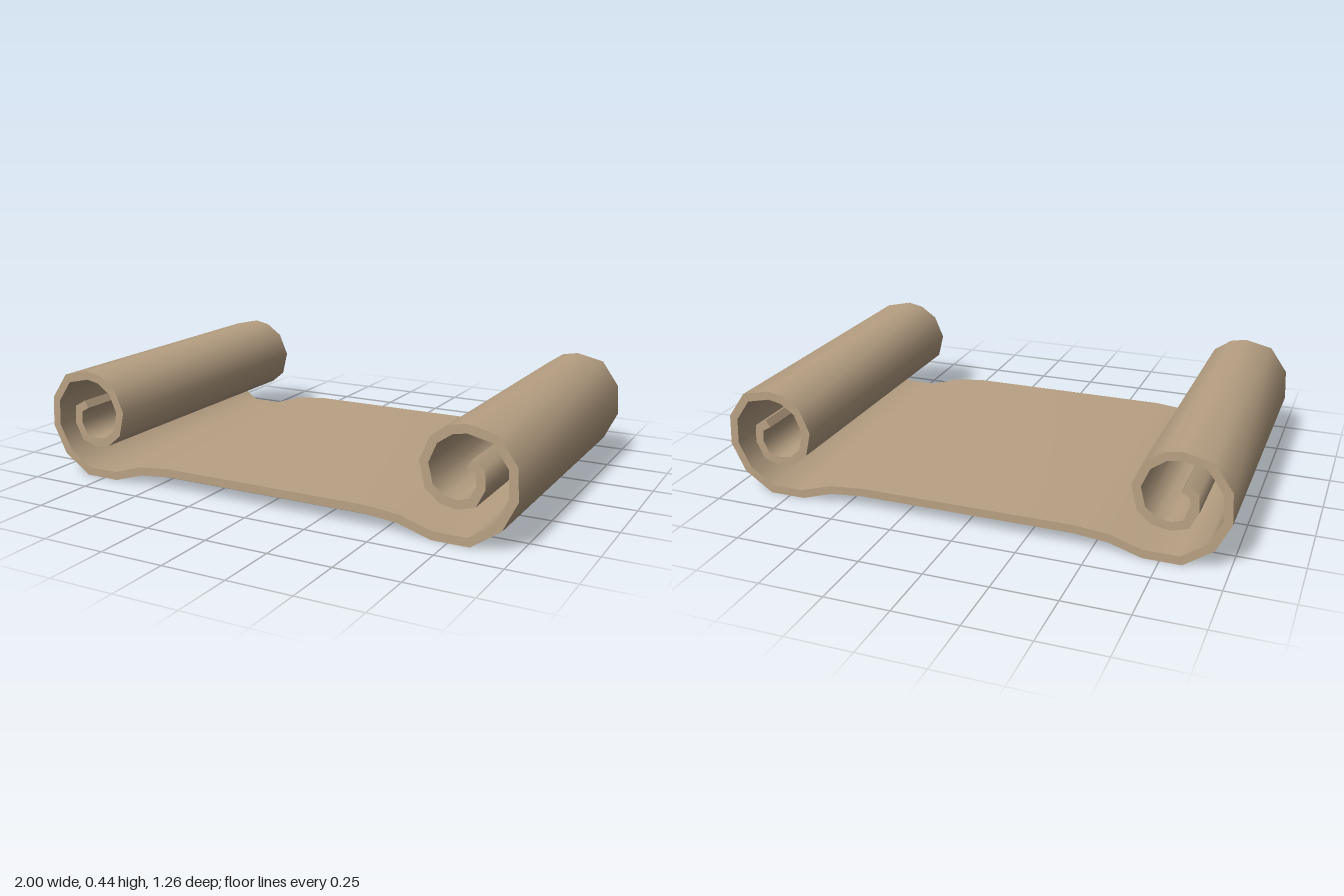
import * as THREE from 'three';
import { toCreasedNormals } from 'three/addons/utils/BufferGeometryUtils.js';

const HALF_THICKNESS = 0.0165;
const DEPTH = 1.26;

// Centre line of the right half, from the flat sheet to the inner end of the curl
const HALF_PATH = [
  [0.43, 0.07], [0.565, 0.057], [0.69, 0.018], [0.828, 0.018], [0.932, 0.09],
  [0.983, 0.195], [0.977, 0.305], [0.912, 0.397], [0.81, 0.42], [0.752, 0.409],
  [0.69, 0.366], [0.655, 0.284], [0.676, 0.198], [0.725, 0.157], [0.783, 0.147],
  [0.838, 0.163], [0.866, 0.22], [0.862, 0.277], [0.822, 0.3],
];

// Mitred offset of an open polyline to its left (positive) or right (negative)
function offsetPath(points, distance) {
  const normal = (a, b) => {
    const d = b.clone().sub(a).normalize();
    return new THREE.Vector2(-d.y, d.x);
  };
  return points.map((p, i) => {
    const before = i > 0 ? normal(points[i - 1], p) : null;
    const after = i < points.length - 1 ? normal(p, points[i + 1]) : null;
    const n0 = before || after;
    const miter = n0.clone().add(after || before).normalize();
    return p.clone().addScaledVector(miter, distance / miter.dot(n0));
  });
}

export function createModel() {
  const group = new THREE.Group();
  group.name = 'scroll';

  const parchment = new THREE.MeshStandardMaterial({ color: 0xb8a184 });
  parchment.name = 'parchment';

  // Mirror the half path into one line running from curl to curl
  const right = HALF_PATH.map(([x, y]) => new THREE.Vector2(x, y));
  const left = HALF_PATH.map(([x, y]) => new THREE.Vector2(-x, y)).reverse();
  const path = [...left, ...right];

  // Thicken it into a closed section and extrude front to back
  const outline = [
    ...offsetPath(path, -HALF_THICKNESS),
    ...offsetPath(path, HALF_THICKNESS).reverse(),
  ];
  const extruded = new THREE.ExtrudeGeometry(new THREE.Shape(outline), {
    depth: DEPTH, bevelEnabled: false,
  });
  extruded.translate(0, 0, -DEPTH / 2);

  // Smooth around the curls, sharp at the sheet's edges
  const sheet = new THREE.Mesh(toCreasedNormals(extruded, 1.1), parchment);
  sheet.name = 'curledSheet';
  group.add(sheet);
  return group;
}
